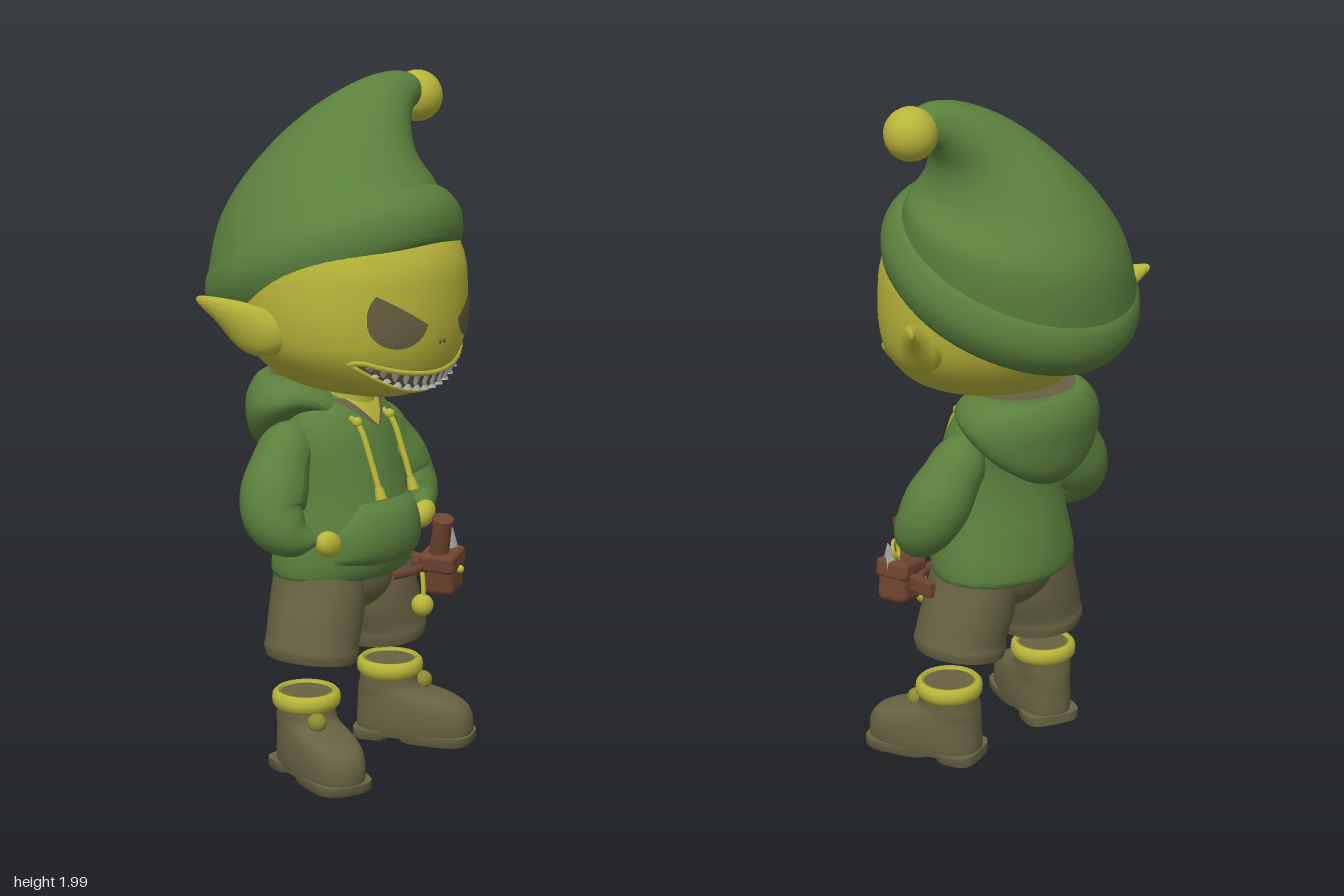
import * as THREE from 'three';
import { toCreasedNormals } from 'three/addons/utils/BufferGeometryUtils.js';
import { RoundedBoxGeometry } from 'three/addons/geometries/RoundedBoxGeometry.js';

const mat = (name, color, side = THREE.FrontSide) => {
  const m = new THREE.MeshStandardMaterial({ color, side });
  m.name = name;
  return m;
};
const V = (x, y, z) => new THREE.Vector3(x, y, z);
const RAD = Math.PI / 180;

// Level ring from its height, half width, front z and back z.
const band = ([y, rx, zf, zb]) => [0, y, (zf + zb) / 2, rx, (zf - zb) / 2, 0, 0];

// Catmull-Rom resampling of ring rows [x, y, z, rx, rz, tiltX, tiltZ].
function smooth(rows, n = 4) {
  const out = [], at = (i) => rows[Math.min(Math.max(i, 0), rows.length - 1)];
  for (let i = 0; i < rows.length - 1; i++) {
    for (let k = 0; k < n; k++) {
      const t = k / n;
      out.push([0, 1, 2, 3, 4, 5, 6].map((c) => {
        const [a, b, d, e] = [-1, 0, 1, 2].map((o) => at(i + o)[c] || 0);
        return b + 0.5 * t * (d - a + t * (2 * a - 5 * b + 4 * d - e + t * (3 * (b - d) + e - a)));
      }));
    }
  }
  out.push([0, 1, 2, 3, 4, 5, 6].map((c) => rows[rows.length - 1][c] || 0));
  return out;
}

// Skin over a stack of ellipse rings, closed at both ends; pow < 1 squares the rings.
function loft(rows, { seg = 40, pow = 1, warp = null } = {}) {
  const pos = [], idx = [], sq = (v) => Math.sign(v) * Math.abs(v) ** pow;
  for (const [x, y, z, rx, rz, tx = 0, tz = 0] of rows) {
    const e = new THREE.Euler(tx * RAD, 0, tz * RAD, 'ZXY');
    for (let j = 0; j < seg; j++) {
      const a = (j / seg) * Math.PI * 2;
      const p = V(rx * sq(Math.sin(a)), 0, rz * sq(Math.cos(a))).applyEuler(e).add(V(x, y, z));
      if (warp) warp(p);
      pos.push(p.x, p.y, p.z);
    }
  }
  const last = rows.length - 1, c0 = rows.length * seg;
  for (const r of [rows[0], rows[last]]) {
    const p = V(r[0], r[1], r[2]);
    if (warp) warp(p);
    pos.push(p.x, p.y, p.z);
  }
  for (let j = 0; j < seg; j++) {
    const k = (j + 1) % seg;
    for (let i = 0; i < last; i++) {
      const a = i * seg + j, b = i * seg + k;
      idx.push(a, b, a + seg, b, b + seg, a + seg);
    }
    idx.push(c0, k, j, c0 + 1, last * seg + j, last * seg + k);
  }
  const g = new THREE.BufferGeometry();
  g.setAttribute('position', new THREE.Float32BufferAttribute(pos, 3));
  g.setIndex(idx);
  return toCreasedNormals(g, 0.9);
}

// Front z of a level-ring body at a given x and y.
const frontOf = (rows) => (x, y) => {
  let i = 0;
  while (i < rows.length - 2 && rows[i + 1][1] < y) i++;
  const t = Math.min(Math.max((y - rows[i][1]) / (rows[i + 1][1] - rows[i][1]), 0), 1);
  const [z, rx, rz] = [2, 3, 4].map((c) => rows[i][c] + t * (rows[i + 1][c] - rows[i][c]));
  return z + rz * Math.sqrt(Math.max(0, 1 - (x / rx) ** 2));
};

// Plate lying on a body's front, between two curves lo(x) and hi(x).
function patch(front, x0, x1, lo, hi, lift = () => 0.005, nx = 32, ny = 10) {
  const pos = [], idx = [];
  for (let j = 0; j <= ny; j++) for (let i = 0; i <= nx; i++) {
    const u = i / nx, v = j / ny, x = x0 + (x1 - x0) * u, y = lo(x) + (hi(x) - lo(x)) * v;
    pos.push(x, y, front(x, y) + lift(u, v));
    if (i < nx && j < ny) {
      const a = j * (nx + 1) + i, b = a + nx + 1;
      idx.push(a, a + 1, b, a + 1, b + 1, b);
    }
  }
  const g = new THREE.BufferGeometry();
  g.setAttribute('position', new THREE.Float32BufferAttribute(pos, 3));
  g.setIndex(idx);
  g.computeVertexNormals();
  return g;
}

const tube = (pts, r, n = 24, closed = false) =>
  new THREE.TubeGeometry(new THREE.CatmullRomCurve3(pts.map((p) => V(...p)), closed), n, r, 8, closed);

// Tube whose radius follows a list of values along its length.
function limb(pts, radii, n = 32, seg = 24) {
  const curve = new THREE.CatmullRomCurve3(pts.map((p) => V(...p)));
  const g = new THREE.TubeGeometry(curve, n, 1, seg), P = g.attributes.position, p = V(0, 0, 0);
  const rc = new THREE.CatmullRomCurve3(radii.map((r, i) => V(i, r, 0)));
  for (let i = 0; i < P.count; i++) {
    const t = Math.floor(i / (seg + 1)) / n, c = curve.getPointAt(t);
    p.fromBufferAttribute(P, i).sub(c).multiplyScalar(Math.max(rc.getPoint(t).y, 0.001)).add(c);
    P.setXYZ(i, p.x, p.y, p.z);
  }
  g.computeVertexNormals();
  return g;
}

export function createModel() {
  const root = new THREE.Group();
  root.name = 'goblin';
  const skin = mat('yellowSkin', 0xb8b53a), green = mat('greenCloth', 0x5a803d);
  const olive = mat('oliveBrown', 0x676242, THREE.DoubleSide), leather = mat('brownLeather', 0x6e4430);
  const metal = mat('greyMetal', 0xa8a8a6), gold = mat('dullGold', 0x8e8a35);
  const put = (name, geo, m, pos = [0, 0, 0], rot = [0, 0, 0], parent = root) => {
    const mesh = new THREE.Mesh(geo, m);
    mesh.name = name;
    mesh.position.set(...pos);
    mesh.rotation.set(...rot);
    parent.add(mesh);
    return mesh;
  };
  const ball = (r) => new THREE.SphereGeometry(r, 24, 16);

  // Head and neck
  const headRows = smooth([[1.115, 0.1, 0.26, 0.02], [1.14, 0.19, 0.32, -0.09], [1.18, 0.255, 0.355, -0.17],
    [1.25, 0.315, 0.38, -0.23], [1.33, 0.34, 0.39, -0.27], [1.42, 0.345, 0.39, -0.29], [1.5, 0.335, 0.38, -0.28],
    [1.58, 0.3, 0.33, -0.22], [1.65, 0.2, 0.2, -0.16]].map(band));
  const face = frontOf(headRows);
  put('head', loft(headRows, { seg: 64 }), skin);
  put('neck', new THREE.CylinderGeometry(0.085, 0.09, 0.18, 24), skin, [0, 1.07, 0.04]);

  // Mouth, lips and teeth
  const lower = (x) => 1.143 + 0.1 * (x / 0.25) ** 2, upper = (x) => 1.19 + 0.057 * (x / 0.25) ** 2;
  put('mouth', patch(face, -0.25, 0.25, lower, upper, () => 0.003, 60), olive);
  const rim = [];
  for (let i = 0; i < 20; i++) rim.push(-0.25 + i * 0.025);
  const lip = [...rim.map((x) => [x, lower(x) - 0.004]), ...rim.map((x) => [-x, upper(x) + 0.004])];
  put('lips', tube(lip.map(([x, y]) => [x, y, face(x, y)]), 0.008, 120, true), skin);
  for (let i = -6; i <= 6; i++) {
    const x = i * 0.034, h = (upper(x) - lower(x)) * 0.72;
    const yu = upper(x) - h * 0.5, xl = x + 0.017, yl = lower(xl) + h * 0.35;
    put('upperTooth', new THREE.CylinderGeometry(0.004, 0.016, h, 8), metal, [x, yu, face(x, yu)], [Math.PI, 0, 0]);
    if (i < 6) put('lowerTooth', new THREE.CylinderGeometry(0.004, 0.014, h * 0.7, 8), metal, [xl, yl, face(xl, yl)]);
  }

  // Eyes, nostrils and ears
  for (const s of [1, -1]) {
    const arc = (x, r) => r * Math.sqrt(Math.max(0, 1 - ((Math.abs(x) - 0.152) / 0.085) ** 2));
    const lo = (x) => 1.36 - arc(x, 0.082);
    const hi = (x) => Math.min(1.34 + (Math.abs(x) - 0.07) * 0.62, 1.37 + arc(x, 0.09));
    const [x0, x1] = s > 0 ? [0.07, 0.236] : [-0.236, -0.07];
    put('eyeSocket', patch(face, x0, x1, lo, hi), olive);
    put('nostril', ball(0.007), olive, [s * 0.009, 1.285, face(0, 1.285) - 0.002]);
    put('ear', loft(smooth([[0.27, 1.31, 0.03, 0.055, 0.065], [0.34, 1.315, 0.01, 0.07, 0.07],
      [0.385, 1.337, -0.015, 0.066, 0.056], [0.43, 1.378, -0.055, 0.038, 0.033], [0.46, 1.402, -0.085, 0.02, 0.018],
      [0.472, 1.411, -0.098, 0.011, 0.01], [0.476, 1.414, -0.103, 0.002, 0.002]]
      .map(([x, ...r]) => [s * x, ...r, 0, -90 * s])), { seg: 24 }), skin);
  }

  // Hat: rolled brim, bent cone and pompom
  const brim = [[-0.01, 0.9], [-0.008, 0.95], [0.015, 1.0], [0.06, 1.04], [0.1, 1.035], [0.14, 0.99], [0.16, 0.93], [0.16, 0.86]];
  put('hatBrim', loft(smooth(brim.map(([t, k]) =>
    [0.005, 1.412 + 0.906 * t, 0.023 - 0.42 * t, 0.345 * k, 0.389 * k, -25, 0])), { seg: 64 }), green);
  put('hatCone', loft(smooth([[0, 1.54, -0.04, 0.335, 0.368, -25, 0], [0.035, 1.652, -0.058, 0.288, 0.32, -15, -3],
    [0.09, 1.777, -0.042, 0.178, 0.228, -9, -22], [0.155, 1.875, -0.004, 0.11, 0.142, -4, -44],
    [0.225, 1.93, 0.018, 0.074, 0.088, 0, -58], [0.29, 1.942, 0.033, 0.054, 0.056, 0, -80],
    [0.335, 1.93, 0.035, 0.03, 0.03, 0, -95]], 6), { seg: 56 }), green);
  put('pompom', ball(0.075), skin, [0.34, 1.922, 0.036]);

  // Hoodie body, neckline, pouch pocket and heart badge
  const bodyRows = smooth([[0.565, 0.215, 0.17, -0.135], [0.58, 0.235, 0.2, -0.152], [0.63, 0.236, 0.22, -0.152],
    [0.72, 0.222, 0.225, -0.135], [0.82, 0.205, 0.205, -0.112], [0.92, 0.2, 0.182, -0.1], [1.0, 0.195, 0.16, -0.11],
    [1.06, 0.16, 0.13, -0.1], [1.1, 0.1, 0.1, -0.06]].map(band));
  const chest = frontOf(bodyRows);
  put('hoodieBody', loft(bodyRows, { seg: 48 }), green);
  put('lapelLining', patch(chest, -0.1, 0.1, (x) => 1.005 + Math.abs(x) * 0.8, () => 1.092, () => 0.004), olive);
  put('neckline', patch(chest, -0.07, 0.07, (x) => 1.012 + Math.abs(x) * 1.15, () => 1.095, () => 0.007), skin);
  put('pocket', patch(chest, -0.19, 0.19, (x) => 0.615 + 0.5 * x * x,
    (x) => 0.805 - Math.max(0, Math.abs(x) - 0.11) * 1.2,
    (u, v) => 0.038 * (16 * u * (1 - u) * v * (1 - v)) ** 0.4 - 0.003), green);
  const ht = (x) => Math.min(1, Math.abs(x - 0.125) / 0.057);
  const lean = (x) => 0.15 * (0.125 - x);
  put('heartBadge', patch(chest, 0.068, 0.182, (x) => 0.864 + 0.058 * ht(x) ** 1.5 + lean(x),
    (x) => 0.925 + 0.018 * Math.sqrt(Math.max(0, 1 - (2 * ht(x) - 1) ** 2)) + lean(x), () => 0.009), skin);

  // Lowered hood, draping to a point behind and dipping at the throat
  const dip = (p) => { p.y -= 0.13 * Math.max(0, p.z / 0.1) * Math.max(0, 1 - Math.abs(p.x) / 0.2); };
  put('hood', loft(smooth([[0, 0.895, -0.125, 0.04, 0.035, -35], [0, 0.935, -0.125, 0.12, 0.085, -32],
    [0, 0.995, -0.1, 0.2, 0.142, -25], [0, 1.055, -0.078, 0.236, 0.17, -12], [0, 1.1, -0.07, 0.228, 0.178, -4],
    [0, 1.14, -0.065, 0.195, 0.16], [0, 1.147, -0.06, 0.165, 0.135]]), { seg: 48, warp: dip }), green);
  put('hoodLining', loft([[0, 1.152, -0.06, 0.163, 0.133], [0, 1.153, -0.06, 0.15, 0.12], [0, 1.148, -0.06, 0.1, 0.08]],
    { seg: 48, warp: dip }), olive);

  // Drawstrings
  for (const x of [-0.09, 0.06]) {
    put('drawstring', tube([[x, 1.045, 0.13], [x, 1.02, 0.165], [x, 0.93, 0.205], [x, 0.84, 0.238]], 0.009), skin);
    put('drawstringEnd', new THREE.CylinderGeometry(0.012, 0.017, 0.035, 12), skin, [x, 0.84, 0.238], [-0.3, 0, 0]);
    put('drawstringKnot', ball(0.015), skin, [x, 1.035, 0.155]);
  }

  for (const s of [1, -1]) {
    // Sleeves, and hands tucked into the pocket
    put('sleeve', limb([[0.13, 1.02, -0.01], [0.19, 0.975, -0.01], [0.26, 0.88, 0], [0.308, 0.78, 0.03],
      [0.29, 0.728, 0.09], [0.255, 0.718, 0.142], [0.245, 0.716, 0.147]].map(([x, y, z]) => [s * x, y, z]),
    [0.01, 0.072, 0.086, 0.097, 0.088, 0.064, 0.001]), green);
    put('hand', ball(0.044), skin, [s * 0.222, 0.704, 0.158], [0, 0, s * 0.5]).scale.set(1.1, 0.85, 0.7);

    // Shorts leg with a hollow hem
    put('shortsLeg', loft([[0.162, 0.41, 0.045, 0.1, 0.11], [0.163, 0.34, 0.045, 0.114, 0.125],
      ...smooth([[0.163, 0.336, 0.045, 0.126, 0.137], [0.163, 0.362, 0.045, 0.132, 0.142],
        [0.158, 0.387, 0.045, 0.131, 0.139], [0.135, 0.46, 0.04, 0.133, 0.142], [0.118, 0.54, 0.035, 0.122, 0.142],
        [0.11, 0.6, 0.03, 0.115, 0.135]])].map(([x, ...r]) => [s * x, r[0], r[1], r[2], r[3], 0, 7 * s])), olive);

    // Boot, turned outward
    const boot = new THREE.Group();
    boot.name = 'boot';
    boot.position.set(s * 0.198, 0, 0.055);
    boot.rotation.y = s * 20 * RAD;
    root.add(boot);
    put('bootUpper', loft(smooth([[0.02, 0.085, 0.254, -0.098], [0.05, 0.09, 0.26, -0.1], [0.09, 0.09, 0.255, -0.098],
      [0.12, 0.087, 0.234, -0.097], [0.142, 0.083, 0.185, -0.096], [0.158, 0.08, 0.12, -0.094],
      [0.18, 0.078, 0.09, -0.09], [0.242, 0.078, 0.082, -0.082]].map(band)), { pow: 0.8 }), olive,
    [0, 0, 0], [0, 0, 0], boot);
    for (const [name, zf, zb] of [['sole', 0.263, 0.04], ['heel', 0.02, -0.103]]) {
      put(name, loft([[0.005, 0.085, zf - 0.004, zb], [0.01, 0.088, zf, zb], [0.034, 0.088, zf, zb]].map(band),
        { pow: 0.6 }), olive, [0, 0, 0], [0, 0, 0], boot);
    }
    const cuff = [[0.07, 0.2], [0.088, 0.199], [0.098, 0.21], [0.1, 0.225], [0.098, 0.24], [0.088, 0.25], [0.076, 0.248], [0.07, 0.21]];
    put('bootCuff', new THREE.LatheGeometry(cuff.map((p) => new THREE.Vector2(...p)), 32), skin, [0, 0, 0], [0, 0, 0], boot);
    put('bootButton', ball(0.028), gold, [s * 0.022, 0.178, 0.098], [0, 0, 0], boot);
  }
  put('shortsSeat', loft(smooth([[0.45, 0.03, 0.08, -0.02], [0.48, 0.1, 0.14, -0.07], [0.53, 0.18, 0.17, -0.106],
    [0.6, 0.21, 0.175, -0.12]].map(band))), olive);

  // Belt pouch with tools and charm on the left hip
  put('belt', tube([[0.03, 0.56, 0.185], [0.13, 0.555, 0.192], [0.215, 0.548, 0.16], [0.255, 0.545, 0.08]], 0.014), leather);
  put('beltTab', new RoundedBoxGeometry(0.03, 0.05, 0.09, 2, 0.008), leather, [0.25, 0.545, 0.11]);
  const pouch = new THREE.Group();
  pouch.name = 'pouch';
  pouch.position.set(0.243, 0.535, 0.215);
  pouch.rotation.set(0, 0.25, 0.12);
  root.add(pouch);
  const inPouch = (name, geo, m, pos, rot = [0, 0, 0]) => put(name, geo, m, pos, rot, pouch);
  inPouch('pouchBody', new RoundedBoxGeometry(0.108, 0.13, 0.1, 3, 0.024), leather, [0, 0, 0]);
  inPouch('pouchFlap', new RoundedBoxGeometry(0.116, 0.06, 0.112, 3, 0.016), leather, [0, 0.038, 0]);
  inPouch('pouchClasp', ball(0.012), skin, [0, 0.012, 0.057]);
  inPouch('toolHandle', new THREE.CylinderGeometry(0.027, 0.03, 0.13, 16), leather, [-0.025, 0.115, 0.01], [0.2, 0, 0.1]);
  inPouch('toolCap', new THREE.CylinderGeometry(0.032, 0.032, 0.02, 16), leather, [-0.031, 0.17, 0.02], [0.2, 0, 0.1]);
  inPouch('blade', new THREE.ConeGeometry(0.036, 0.08, 4), metal, [0.046, 0.088, 0.01], [0, 0, -0.5]);
  put('ring', new THREE.TorusGeometry(0.026, 0.006, 8, 24), skin, [0.295, 0.655, 0.175], [0.3, 0.6, 0]);
  put('charmCord', tube([[0.15, 0.55, 0.21], [0.14, 0.51, 0.222], [0.137, 0.48, 0.225]], 0.007), skin);
  put('charm', ball(0.033), skin, [0.136, 0.455, 0.222]);
  return root;
}
